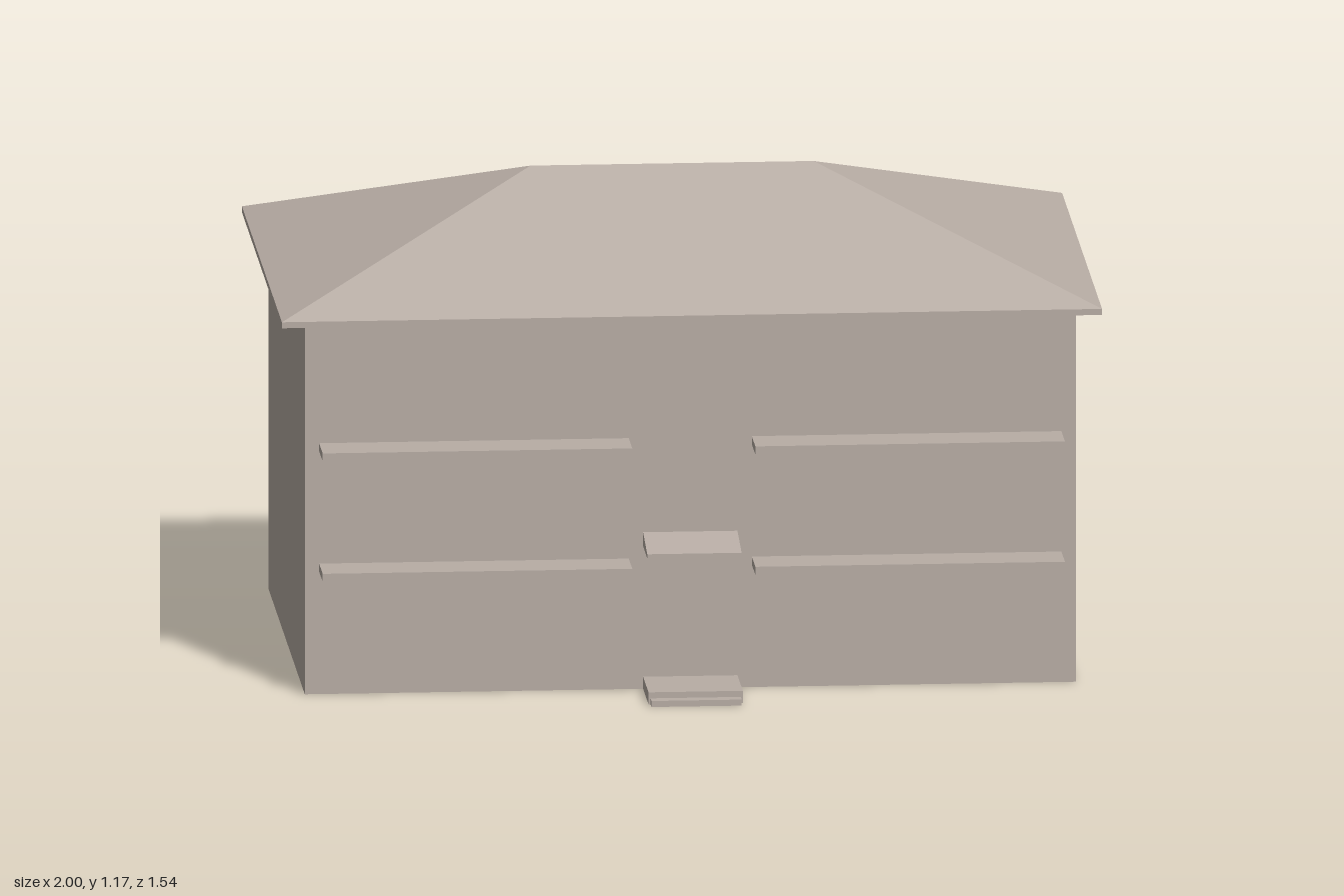
import * as THREE from 'three';

const W = 0.94, FRONT = 0.565, BACK = -0.62, TOP = 0.925;

const plaster = new THREE.MeshStandardMaterial({ color: 0xb8ada5, side: THREE.DoubleSide });
plaster.name = 'plaster';

// Flat faces, each a convex loop of points seen anticlockwise from outside
function faces(name, loops) {
  const pos = [];
  for (const p of loops)
    for (let i = 1; i < p.length - 1; i++) pos.push(...p[0], ...p[i], ...p[i + 1]);
  const g = new THREE.BufferGeometry();
  g.setAttribute('position', new THREE.Float32BufferAttribute(pos, 3));
  g.computeVertexNormals();
  const mesh = new THREE.Mesh(g, plaster);
  mesh.name = name;
  return mesh;
}

// Hollow projection: a [z, y] profile swept from x0 to x1, open towards the wall
function projection(name, x0, x1, profile) {
  const loops = [];
  for (let i = 0; i < profile.length - 1; i++) {
    const [za, ya] = profile[i], [zb, yb] = profile[i + 1];
    loops.push([[x0, ya, za], [x0, yb, zb], [x1, yb, zb], [x1, ya, za]]);
  }
  loops.push(profile.map(([z, y]) => [x0, y, z]).reverse());
  loops.push(profile.map(([z, y]) => [x1, y, z]));
  return faces(name, loops);
}

// Wall sheet with a doorstep notch and slots behind the projections
function wall(name, notch, slots) {
  const s = new THREE.Shape([
    [-W, 0], [-notch, 0], [-notch, 0.03], [notch, 0.03], [notch, 0], [W, 0], [W, TOP], [-W, TOP],
  ].map(([x, y]) => new THREE.Vector2(x, y)));
  for (const [x0, x1, y0, y1] of slots)
    s.holes.push(new THREE.Path([
      new THREE.Vector2(x0, y0), new THREE.Vector2(x0, y1),
      new THREE.Vector2(x1, y1), new THREE.Vector2(x1, y0),
    ]));
  const mesh = new THREE.Mesh(new THREE.ShapeGeometry(s), plaster);
  mesh.name = name;
  return mesh;
}

export function createModel() {
  const house = new THREE.Group();
  house.name = 'house';

  // Balcony slabs, two storeys on each side of the entrance
  const slots = [[-0.115, 0.115, 0.355, 0.39]];
  for (const y of [0.305, 0.605])
    for (const [x0, x1] of [[-0.905, -0.15], [0.15, 0.905]]) {
      slots.push([x0, x1, y, y + 0.02]);
      house.add(projection('balconySlab', x0, x1,
        [[FRONT, y], [0.68, y], [0.68, y + 0.02], [FRONT, y + 0.02]].reverse()));
    }

  // Sloping entrance canopy
  house.add(projection('entranceCanopy', -0.115, 0.115,
    [[FRONT, 0.39], [0.7, 0.365], [0.7, 0.355], [FRONT, 0.355]]));

  // Walls, open underneath
  const frontWall = wall('frontWall', 0.115, slots);
  frontWall.position.z = FRONT;
  const backWall = wall('backWall', 0.08, []);
  backWall.rotation.y = Math.PI;
  backWall.position.z = BACK;
  house.add(frontWall, backWall);
  house.add(faces('sideWalls', [
    [[W, 0, FRONT], [W, 0, BACK], [W, TOP, BACK], [W, TOP, FRONT]],
    [[-W, 0, BACK], [-W, 0, FRONT], [-W, TOP, FRONT], [-W, TOP, BACK]],
  ]));

  // Doorsteps, open underneath
  const step = (name, x0, x1, from, to, h) => {
    const m = projection(name, x0, x1, [[0, h], [to - from, h], [to - from, 0], [0, 0]].slice(0, 3));
    return m;
  };
  // Side caps need the full rectangle, so each step is listed face by face
  const addStep = (name, x0, x1, from, to, h, turn) => {
    const d = to - from;
    const m = faces(name, [
      [[x0, h, 0], [x0, h, d], [x1, h, d], [x1, h, 0]],
      [[x0, 0, d], [x1, 0, d], [x1, h, d], [x0, h, d]],
      [[x0, 0, 0], [x0, 0, d], [x0, h, d], [x0, h, 0]],
      [[x1, 0, d], [x1, 0, 0], [x1, h, 0], [x1, h, d]],
    ]);
    m.position.z = turn ? -from : from;
    if (turn) m.rotation.y = Math.PI;
    house.add(m);
  };
  addStep('frontUpperStep', -0.115, 0.115, FRONT, 0.74, 0.03, false);
  addStep('frontLowerStep', -0.11, 0.11, 0.74, 0.77, 0.015, false);
  addStep('backUpperStep', -0.08, 0.08, -BACK, 0.745, 0.03, true);
  addStep('backLowerStep', -0.068, 0.068, 0.745, 0.775, 0.015, true);

  // Hipped roof with fascia and soffit ring
  const rect = (x, y, zf, zb) => [[-x, y, zf], [x, y, zf], [x, y, zb], [-x, y, zb]];
  const low = rect(1, TOP, 0.62, -0.68), eave = rect(1, 0.94, 0.62, -0.68);
  const inner = rect(W, TOP, FRONT, BACK);
  const rl = [-0.345, 1.175, -0.03], rr = [0.345, 1.175, -0.03];
  const [a, b, c, d] = eave;
  house.add(faces('roofSlopes', [[a, b, rr, rl], [b, c, rr], [c, d, rl, rr], [d, a, rl]]));
  const fascia = [], soffit = [];
  for (let i = 0; i < 4; i++) {
    const j = (i + 1) % 4;
    fascia.push([low[i], low[j], eave[j], eave[i]]);
    soffit.push([low[j], low[i], inner[i], inner[j]]);
  }
  house.add(faces('fascia', fascia), faces('soffit', soffit));

  return house;
}
